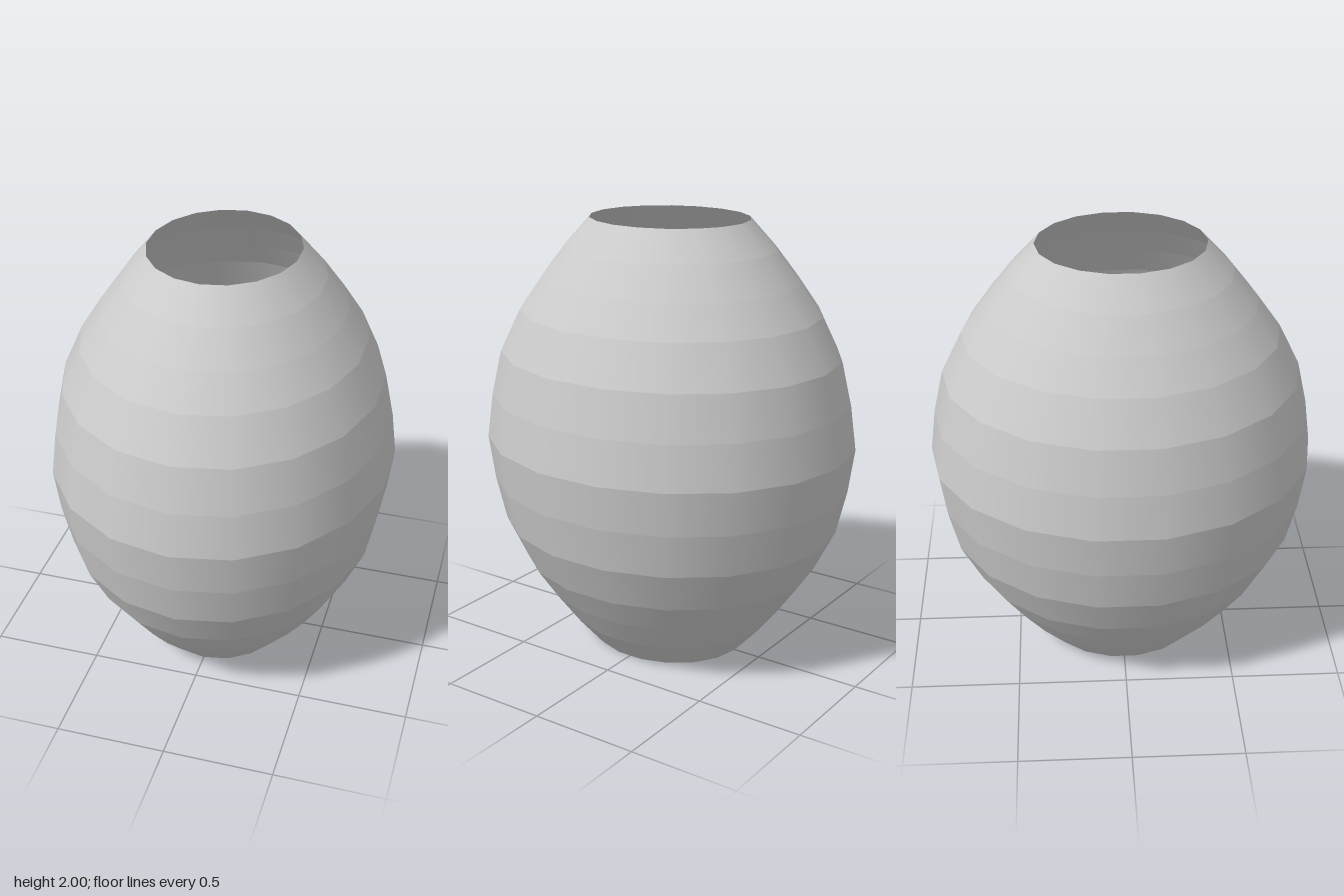
import * as THREE from 'three';
import { mergeGeometries } from 'three/addons/utils/BufferGeometryUtils.js';

const SIDES = 18;
const RX = 0.78, RZ = 0.87;
// half profile from the middle ring to the rim: [height above middle, radius ratio]
const PROFILE = [[0, 1], [0.2, 0.968], [0.4, 0.914], [0.59, 0.805], [0.73, 0.69], [0.87, 0.563], [1, 0.425]];

// one band of the wall, smooth around and creased at its edges
function band(y0, r0, y1, r1) {
  const g = new THREE.CylinderGeometry(r1, r0, y1 - y0, SIDES, 1, true);
  g.translate(0, (y0 + y1) / 2, 0);
  return g.scale(RX, 1, RZ);
}

export function createModel() {
  const group = new THREE.Group();
  group.name = 'openBarrel';
  const bands = [];
  for (let i = 1; i < PROFILE.length; i++) {
    const [ha, ra] = PROFILE[i - 1], [hb, rb] = PROFILE[i];
    bands.push(band(1 + ha, ra, 1 + hb, rb)); // upper half
    bands.push(band(1 - hb, rb, 1 - ha, ra)); // mirrored lower half
  }
  // thin shell, open at both ends
  const shell = new THREE.Mesh(
    mergeGeometries(bands),
    new THREE.MeshStandardMaterial({ color: 0xcccccc, side: THREE.DoubleSide })
  );
  shell.name = 'shell';
  group.add(shell);
  return group;
}
